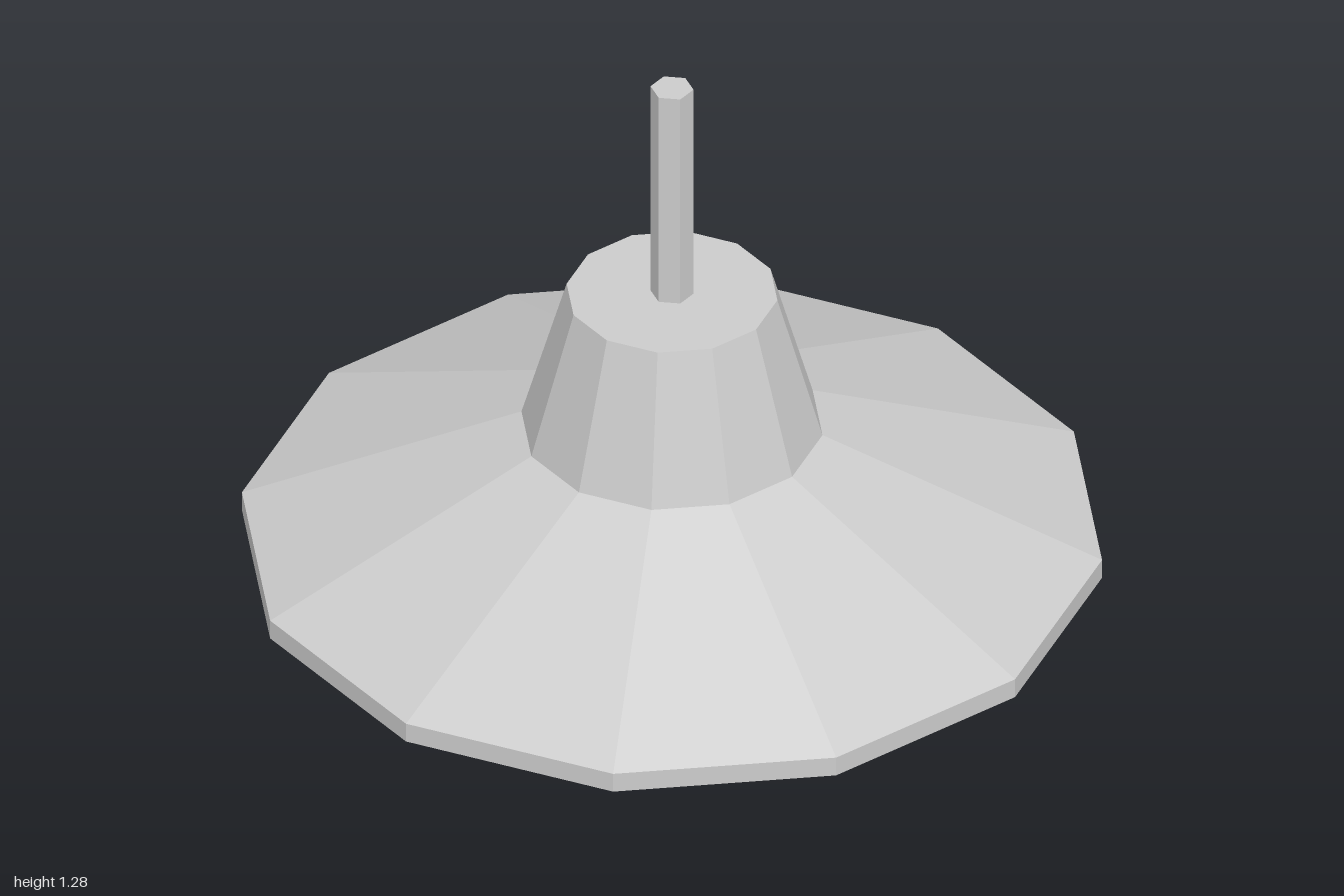
import * as THREE from 'three';

export function createModel() {
  const group = new THREE.Group();
  group.name = 'pendantLamp';
  const shell = new THREE.MeshStandardMaterial({ color: 0xcccccc, flatShading: true, side: THREE.DoubleSide });
  const solid = new THREE.MeshStandardMaterial({ color: 0xcccccc, flatShading: true });

  const add = (name, geometry, material, y) => {
    const mesh = new THREE.Mesh(geometry, material);
    mesh.name = name;
    mesh.position.y = y;
    group.add(mesh);
  };
  // Open twelve-sided band of thin sheet, from y0 up to y1
  const band = (name, r0, y0, r1, y1) =>
    add(name, new THREE.CylinderGeometry(r1, r0, y1 - y0, 12, 1, true), shell, (y0 + y1) / 2);

  band('shadeRim', 1, 0, 1, 0.05);
  band('shade', 1, 0.05, 0.35, 0.34);
  band('neck', 0.35, 0.34, 0.245, 0.71);

  // Flat lid closing the neck, its corners in line with the neck's
  add('neckLid', new THREE.CircleGeometry(0.245, 12).rotateX(-Math.PI / 2), shell, 0.71);

  // Hexagonal hanging rod
  add('rod', new THREE.CylinderGeometry(0.05, 0.05, 0.575, 6), solid, 0.71 + 0.575 / 2);

  return group;
}
